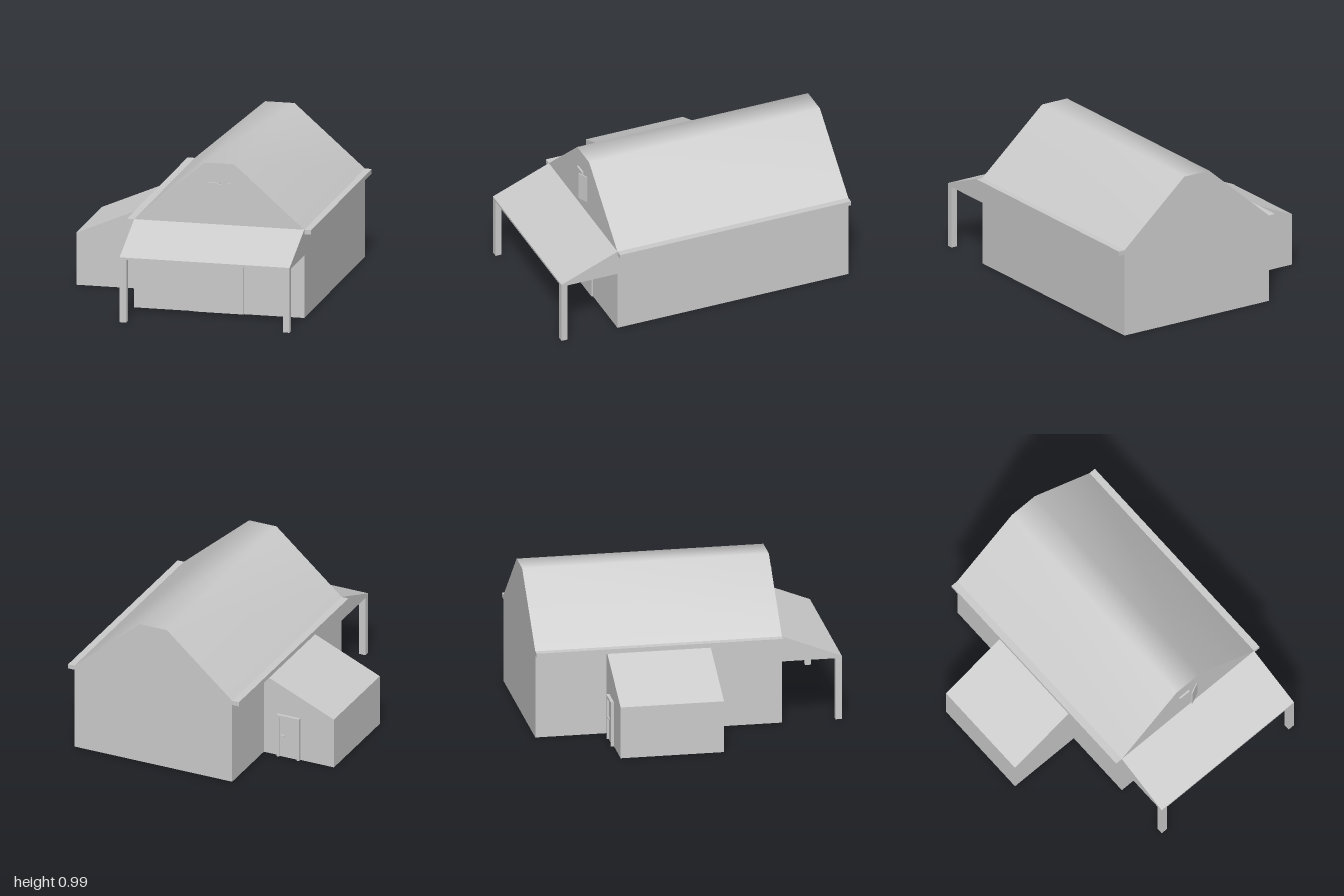
import * as THREE from 'three';

const material = new THREE.MeshStandardMaterial({ color: 0xcccccc });
const thinMaterial = new THREE.MeshStandardMaterial({ color: 0xcccccc, side: THREE.DoubleSide });

const LEFT = -0.335, RIGHT = 0.79, FRONT = 0.61, BACK = -1, EAVES = 0.585;
const ROOF = [[LEFT, EAVES], [0.13, 0.99], [0.325, 0.99], [RIGHT, EAVES]];

function outline(points) {
  return new THREE.Shape(points.map(([x, y]) => new THREE.Vector2(x, y)));
}

export function createModel() {
  const model = new THREE.Group();

  function add(name, geometry, mat = material, parent = model) {
    const mesh = new THREE.Mesh(geometry, mat);
    mesh.name = name;
    parent.add(mesh);
    return mesh;
  }

  // Box given by its extents along each axis
  function block(name, [x0, x1], [y0, y1], [z0, z1], parent = model) {
    const geometry = new THREE.BoxGeometry(x1 - x0, y1 - y0, z1 - z0);
    geometry.translate((x0 + x1) / 2, (y0 + y1) / 2, (z0 + z1) / 2);
    return add(name, geometry, material, parent);
  }

  function prism(points, depth) {
    return new THREE.ExtrudeGeometry(outline(points), { depth, bevelEnabled: false });
  }

  // Main building: walls, two gables and a softly shaded roof
  block('walls', [LEFT, RIGHT], [0, EAVES], [BACK, FRONT]);
  for (const [name, z] of [['frontGable', FRONT], ['backGable', BACK]]) {
    const gable = add(name, new THREE.ShapeGeometry(outline(ROOF)), thinMaterial);
    gable.position.z = z;
  }

  const positions = [], indices = [];
  ROOF.forEach(([x, y], i) => {
    positions.push(x, y, FRONT, x, y, BACK);
    if (i < ROOF.length - 1) {
      const a = 2 * i;
      indices.push(a, a + 2, a + 3, a, a + 3, a + 1);
    }
  });
  const roof = new THREE.BufferGeometry();
  roof.setAttribute('position', new THREE.Float32BufferAttribute(positions, 3));
  roof.setIndex(indices);
  roof.computeVertexNormals();
  add('roof', roof, thinMaterial);

  // Eaves strips along both sides
  block('leftEaves', [RIGHT, 0.835], [0.555, EAVES], [BACK, FRONT]);
  block('rightEaves', [-0.383, LEFT], [0.555, EAVES], [BACK, FRONT]);

  // Side lean-to
  const leanTo = prism([[-0.835, 0], [LEFT, 0], [LEFT, 0.56], [-0.835, 0.345]], 0.675);
  leanTo.translate(0, 0, -0.535);
  add('leanTo', leanTo);

  // Lean-to door at the back, with frame and handle
  const door = new THREE.Group();
  door.name = 'leanToDoor';
  model.add(door);
  block('doorPanel', [-0.58, -0.45], [0, 0.285], [-0.542, -0.535], door);
  block('frameSide', [-0.595, -0.578], [0, 0.3], [-0.555, -0.535], door);
  block('frameSide', [-0.452, -0.435], [0, 0.3], [-0.555, -0.535], door);
  block('frameTop', [-0.578, -0.452], [0.283, 0.3], [-0.555, -0.535], door);
  block('doorHandle', [-0.49, -0.46], [0.145, 0.157], [-0.552, -0.542], door);

  // Front porch: sloped roof wedge on two posts
  const porch = prism([[FRONT, 0.415], [1, 0.415], [1, 0.43], [FRONT, EAVES]], RIGHT - LEFT);
  porch.rotateY(-Math.PI / 2);
  porch.translate(RIGHT, 0, 0);
  add('porchRoof', porch);
  block('porchPost', [LEFT, -0.29], [0, 0.415], [0.96, 1]);
  block('porchPost', [0.745, RIGHT], [0, 0.415], [0.96, 1]);

  // Large front door
  block('frontDoor', [0.06, 0.39], [0, 0.36], [FRONT, 0.62]);

  // Loft shutters: one closed, one swung open
  block('closedShutter', [0.15, 0.232], [0.67, 0.86], [FRONT, 0.622]);
  const openShutter = block('openShutter', [-0.078, 0], [0.67, 0.86], [-0.003, 0.003]);
  openShutter.position.set(0.302, 0, FRONT + 0.001);
  openShutter.rotation.y = 0.43;

  return model;
}
